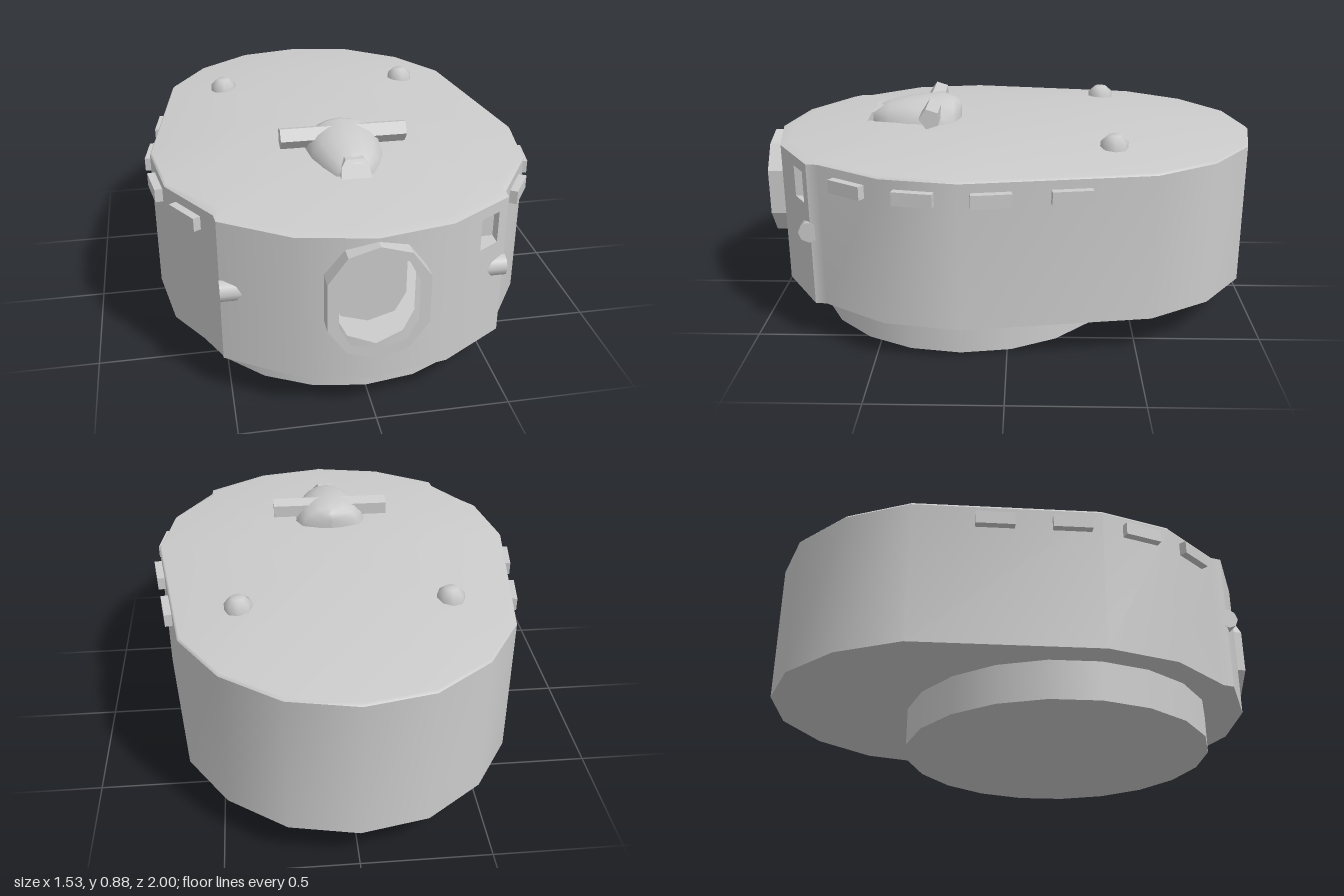
import * as THREE from 'three';

const grey = new THREE.MeshStandardMaterial({ color: 0xcccccc });
const flat = new THREE.MeshStandardMaterial({ color: 0xcccccc, flatShading: true });
const flatOpen = new THREE.MeshStandardMaterial({ color: 0xcccccc, flatShading: true, side: THREE.DoubleSide });

const BOTTOM = 0.155, RIM = 0.728, TOP = 0.778;

// Half outline of the shell (x, z), from the front centre round the left side to the back
const half = [[0, 0.965], [0.28, 0.91], [0.525, 0.755], [0.53, 0.71], [0.69, 0.46], [0.74, 0.17],
  [0.63, -0.55], [0.48, -0.785], [0.26, -0.947], [0, -1]];
const outline = [...half, ...half.slice(1, -1).reverse().map(([x, z]) => [-x, z])];

// Surface through a list of rings with equal point counts
function loft(rings, closed) {
  const n = rings[0].length, index = [];
  for (let i = 0; i < rings.length - 1; i++) {
    for (let j = 0; j < (closed ? n : n - 1); j++) {
      const a = i * n + j, b = i * n + (j + 1) % n;
      index.push(a, b, b + n, a, b + n, a + n);
    }
  }
  const g = new THREE.BufferGeometry();
  g.setAttribute('position', new THREE.Float32BufferAttribute(rings.flat(2), 3));
  g.setIndex(index);
  g.computeVertexNormals();
  return g;
}

const toShape = pts => new THREE.Shape(pts.map(([x, y]) => new THREE.Vector2(x, y)));

// Interpolates a list of [key, value] pairs
function lerpTable(table, k) {
  let i = 1;
  while (i < table.length - 1 && k > table[i][0]) i++;
  const [k0, v0] = table[i - 1], [k1, v1] = table[i];
  return v0 + (v1 - v0) * (k - k0) / (k1 - k0);
}
const frontZ = x => lerpTable(half.slice(0, 3), Math.abs(x));
const frontSlope = x => Math.sign(x) * lerpTable([[0, 0], [0.28, 0.42], [0.525, 0.63]], Math.abs(x));

// Flat shape in x, y bent onto the curved front of the shell
function frontPanel(pts, hole) {
  const shape = toShape(pts);
  if (hole) shape.holes.push(toShape(hole));
  const g = new THREE.ShapeGeometry(shape);
  const p = g.attributes.position, v = new THREE.Vector3();
  for (let i = 0; i < p.count; i++) {
    const x = p.getX(i);
    p.setZ(i, frontZ(x));
    v.set(frontSlope(x), 0, 1).normalize();
    g.attributes.normal.setXYZ(i, v.x, v.y, v.z);
  }
  return g;
}

export function createModel() {
  const model = new THREE.Group();
  const add = (name, geometry, material = grey, x = 0, y = 0, z = 0) => {
    const m = new THREE.Mesh(geometry, material);
    m.name = name;
    m.position.set(x, y, z);
    model.add(m);
    return m;
  };

  // Round base ring under the shell
  add('baseRing', new THREE.CylinderGeometry(0.63, 0.63, 0.16, 20), grey, 0, 0.08, 0.18);

  // Shell: curved side and back wall, floor and low domed roof
  const level = (pts, y) => pts.map(([x, z]) => [x, y, z]);
  const wall = outline.slice(2, outline.length - 1);
  add('sideWall', loft([level(wall, BOTTOM), level(wall, RIM)], false));
  add('floor', loft([outline.map(() => [0, BOTTOM, 0]), level(outline, BOTTOM)], true));
  const inset = outline.map(([x, z]) => (z > 0.7 ? [x * 0.98, z - 0.04] : [x * 0.99, z * 0.99]));
  const crown = outline.map(([x, z]) => [x * 0.55, (z + 0.05) * 0.55 - 0.05]);
  add('roof', loft([level(outline, RIM), level(inset, RIM + 0.01), level(crown, TOP),
    outline.map(() => [0, TOP, -0.05])], true));

  // Gun port outlines, from top to bottom on one side
  const portOuter = [[0, 0.715], [0.11, 0.682], [0.18, 0.585], [0.18, 0.4], [0.11, 0.3], [0, 0.265]];
  const portInner = [[0, 0.68], [0.1, 0.65], [0.14, 0.57], [0.14, 0.412], [0.1, 0.336], [0, 0.305]];
  const mirrored = pts => [...pts, ...pts.slice(1, -1).reverse().map(([x, y]) => [-x, y])];
  const slot = [[0.405, 0.56], [0.485, 0.56], [0.485, 0.685], [0.405, 0.685]];

  // Front wall panels, open at the gun port and the sight slot
  for (const s of [1, -1]) {
    const flip = pts => pts.map(([x, y]) => [s * x, y]);
    add('frontWall', frontPanel(flip([[0, BOTTOM], [0.28, BOTTOM], [0.28, RIM], [0, RIM], ...portInner])));
    add('frontCheek', frontPanel(flip([[0.28, BOTTOM], [0.525, BOTTOM], [0.525, RIM], [0.28, RIM]]),
      s > 0 ? slot : null));
  }

  // Gun port frame with a deep recess
  const port = toShape(mirrored(portOuter));
  port.holes.push(toShape(mirrored(portInner)));
  add('gunPort', new THREE.ExtrudeGeometry(port, { depth: 0.18, bevelEnabled: false }), flat, 0, 0, 0.82);
  add('gunPortFloor', new THREE.ShapeGeometry(toShape(mirrored(portInner))), flat, 0, 0, 0.825);

  // Sight slot recess
  const slotBack = slot.map(([x, y]) => [x, y, 0.73]);
  add('sightSlot', loft([slot.map(([x, y]) => [x, y, frontZ(x)]), slotBack,
    slot.map(() => [0.445, 0.6225, 0.73])], true), flatOpen);

  // Lifting lugs at the front corners and vision blocks along the walls
  for (const s of [1, -1]) {
    const lug = new THREE.CylinderGeometry(0.041, 0.041, 0.12, 8);
    lug.rotateZ(Math.PI / 2);
    add('liftingLug', lug, grey, s * 0.467, 0.453, 0.762);
    for (const z of [0.58, 0.33, 0.055, -0.235]) {
      const i = half.findIndex(p => p[1] < z);
      const [[x0, z0], [x1, z1]] = [half[i - 1], half[i]];
      const x = x0 + (x1 - x0) * (z - z0) / (z1 - z0);
      const block = add('visionBlock', new THREE.BoxGeometry(0.06, 0.052, 0.15), flat, s * x, 0.667, z);
      block.rotation.y = s * Math.atan2(x0 - x1, z0 - z1);
    }
    // Roof stud
    const stud = [[0.054, 0.74], [0.054, 0.79], [0.026, 0.815], [0, 0.815]].map(p => new THREE.Vector2(...p));
    add('roofStud', new THREE.LatheGeometry(stud, 8), grey, s * 0.405, 0, -0.405);
  }

  // Teardrop roof hood lofted from arched sections [z, half width, height]
  const sections = [[0.205, 0, 0.05], [0.21, 0.05, 0.075], [0.235, 0.125, 0.09], [0.29, 0.152, 0.108],
    [0.42, 0.138, 0.092], [0.5, 0.11, 0.075], [0.57, 0.07, 0.05], [0.575, 0, 0]];
  add('hood', loft(sections.map(([z, w, h]) => Array.from({ length: 9 }, (_, i) => {
    const a = Math.PI * i / 8;
    return [w * Math.cos(a), 0.77 + h * Math.sin(a), z];
  })), false));

  // Cross bar through the hood
  const bar = new THREE.CylinderGeometry(0.043, 0.043, 0.49, 5);
  bar.rotateZ(Math.PI / 2);
  add('crossBar', bar, flat, 0, 0.827, 0.318);

  // Sloped nose of the hood
  const nose = new THREE.ExtrudeGeometry(toShape([[-0.057, 0.765], [0.057, 0.765], [0.052, 0.805],
    [0.035, 0.83], [-0.035, 0.83], [-0.052, 0.805]]), { depth: 0.07, bevelEnabled: false });
  const p = nose.attributes.position;
  for (let i = 0; i < p.count; i++) p.setZ(i, p.getZ(i) - (p.getY(i) - 0.765) * 0.6);
  add('hoodNose', nose, flat, 0, 0, 0.53);

  return model;
}
